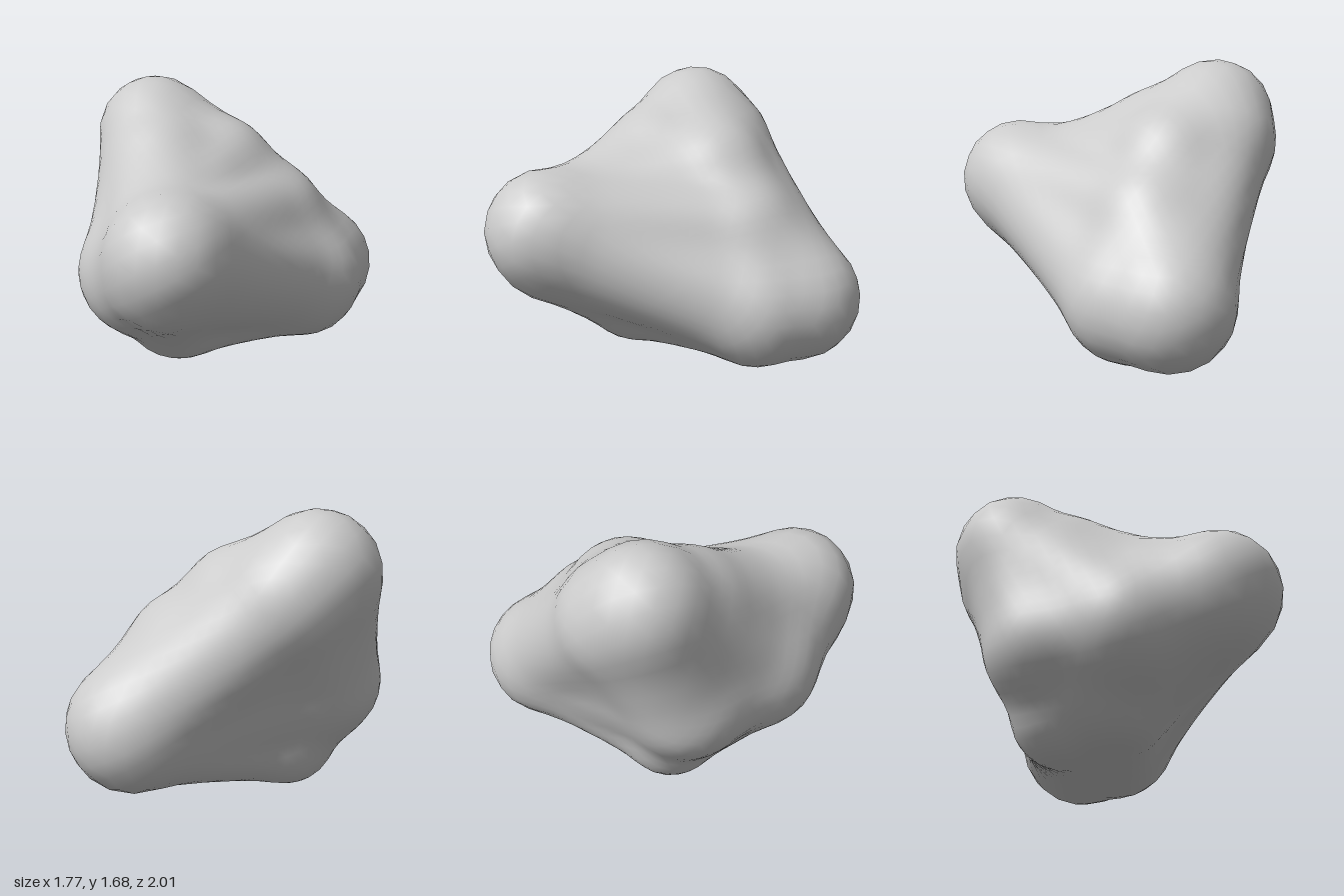
import * as THREE from 'three';
import { mergeVertices } from 'three/addons/utils/BufferGeometryUtils.js';

// Skeleton nodes: x, y, z and thickness around the node
const nodes = {
  nose: [-0.28, 0.89, 0.64, 0.36],
  noseLow: [-0.31, 0.79, 0.59, 0.345],
  noseRoot: [-0.33, 0.89, 0.3, 0.36],
  peak: [-0.5, 1.32, -0.57, 0.35],
  peakBack: [-0.36, 1.2, -0.63, 0.35],
  peakFront: [-0.42, 1.14, -0.25, 0.36],
  ridgeHigh: [-0.1, 1.1, -0.43, 0.345],
  ridgeLow: [0.2, 0.81, -0.42, 0.365],
  knob: [0.51, 0.45, -0.63, 0.37],
  knobFront: [0.44, 0.44, -0.37, 0.37],
  foot: [-0.34, 0.29, -0.3, 0.29],
  footFront: [-0.3, 0.4, 0.0, 0.36],
  flankBack: [-0.5, 0.64, -0.3, 0.38],
  flankFront: [-0.475, 0.65, 0.18, 0.385],
};

// Triangles spanned between the nodes
const webs = [
  // top and front
  'nose noseRoot ridgeLow', 'noseRoot peakFront ridgeHigh', 'noseRoot ridgeHigh ridgeLow',
  'nose ridgeLow knobFront', 'ridgeLow knob knobFront', 'peak peakFront ridgeHigh',
  // back
  'peak peakBack ridgeHigh', 'peakBack ridgeHigh knob', 'ridgeHigh ridgeLow knob',
  'peak peakBack flankBack', 'peakBack knob flankBack', 'flankBack knob foot',
  // underside
  'nose noseLow knobFront', 'noseLow knobFront footFront',
  'knobFront knob foot', 'knobFront foot footFront',
  // flank
  'nose noseLow flankFront', 'noseLow footFront flankFront',
  'footFront foot flankFront', 'foot flankBack flankFront',
  'nose flankFront noseRoot', 'flankFront noseRoot peakFront',
  'flankFront peakFront peak', 'flankFront flankBack peak',
].map((names) => {
  const corners = names.split(' ').map((name) => nodes[name]);
  const points = corners.map(([x, y, z]) => new THREE.Vector3(x, y, z));
  return { points, radii: corners.map((c) => c[3]), triangle: new THREE.Triangle(...points) };
});

// Distance to a thickened triangle that thins out away from its corners
const THINNING = 0.07;
const closest = new THREE.Vector3(), weights = new THREE.Vector3();
function webDistance(p, { points, radii, triangle }) {
  triangle.closestPointToPoint(p, closest);
  triangle.getBarycoord(closest, weights);
  let radius = 0;
  weights.toArray().forEach((w, i) => {
    radius += w * (radii[i] - THINNING * closest.distanceToSquared(points[i]));
  });
  return closest.distanceTo(p) - radius;
}

// Smooth union of all webs
const BLEND = 0.02, INSET = 0.025;
function field(p) {
  let sum = 0;
  for (const web of webs) sum += Math.exp(-webDistance(p, web) / BLEND);
  return INSET - BLEND * Math.log(sum);
}

// Push each vertex of a sphere out from the core to the blended surface
function stoneGeometry() {
  let geometry = new THREE.IcosahedronGeometry(1, 11);
  geometry.deleteAttribute('uv');
  geometry.deleteAttribute('normal');
  geometry = mergeVertices(geometry, 1e-4);
  const core = new THREE.Vector3(-0.1, 0.7, -0.2);
  const pos = geometry.attributes.position;
  const dir = new THREE.Vector3(), p = new THREE.Vector3();
  for (let i = 0; i < pos.count; i++) {
    dir.fromBufferAttribute(pos, i).normalize();
    let near = 0, far = 1.6;
    for (let k = 0; k < 20; k++) {
      const mid = (near + far) / 2;
      p.copy(core).addScaledVector(dir, mid);
      if (field(p) < 0) near = mid; else far = mid;
    }
    p.copy(core).addScaledVector(dir, near);
    pos.setXYZ(i, p.x, p.y, p.z);
  }
  // Stand it on the ground
  geometry.computeBoundingBox();
  geometry.translate(0, -geometry.boundingBox.min.y, 0);
  geometry.computeVertexNormals();
  return geometry;
}

export function createModel() {
  const group = new THREE.Group();
  group.name = 'rock';
  const stone = new THREE.Mesh(
    stoneGeometry(),
    new THREE.MeshStandardMaterial({ color: 0xcccccc }),
  );
  stone.name = 'stone';
  group.add(stone);
  return group;
}
